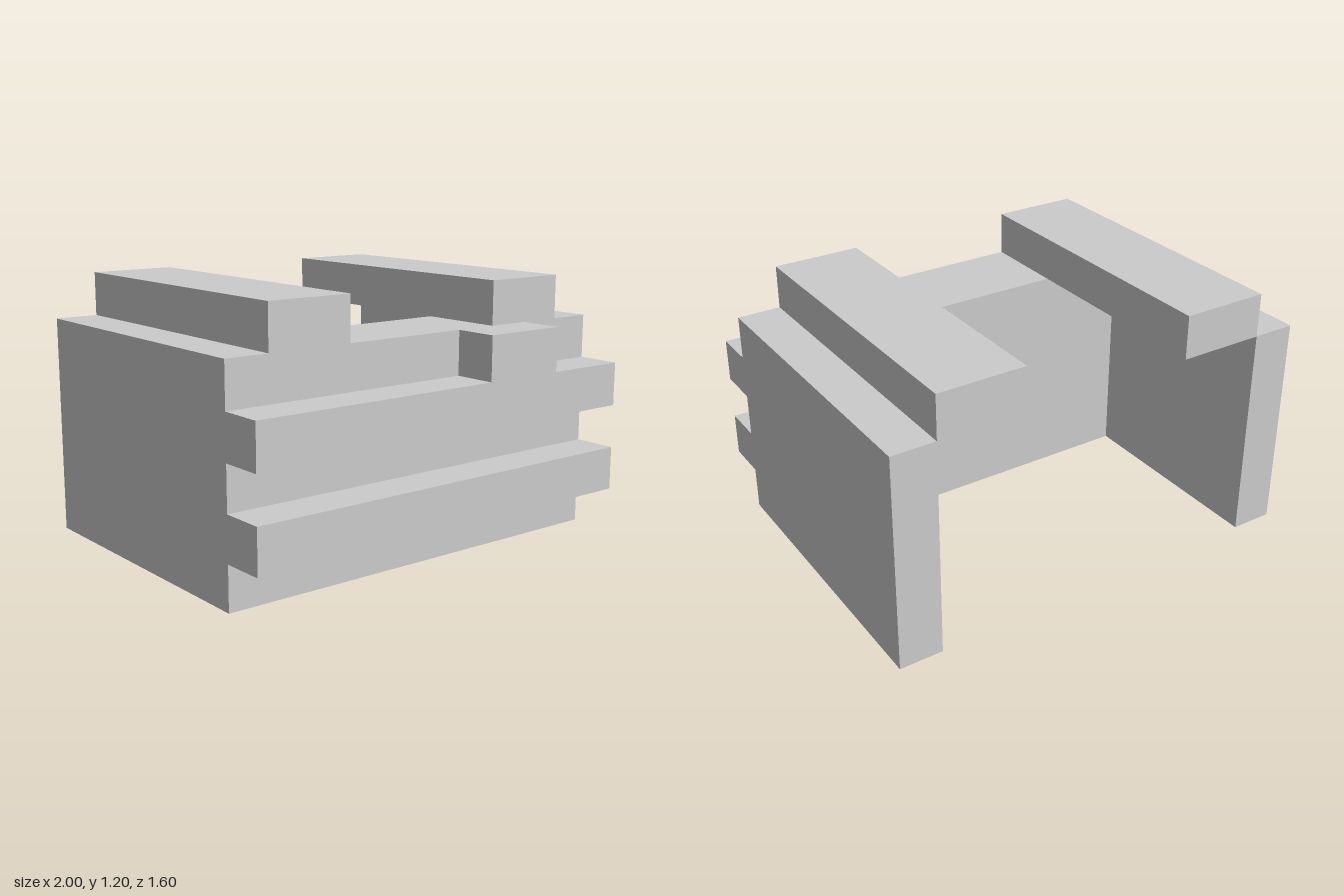
import * as THREE from 'three';

const material = new THREE.MeshStandardMaterial({ color: 0xcccccc, flatShading: true });

// Box given by its min and max on each axis
function block(name, [x0, x1], [y0, y1], [z0, z1]) {
  const mesh = new THREE.Mesh(new THREE.BoxGeometry(x1 - x0, y1 - y0, z1 - z0), material);
  mesh.position.set((x0 + x1) / 2, (y0 + y1) / 2, (z0 + z1) / 2);
  mesh.name = name;
  return mesh;
}

export function createModel() {
  const model = new THREE.Group();
  model.name = 'model';

  // U-shaped body: thick front wall with two side walls, open at the back
  const plan = new THREE.Shape(
    [[-1, -0.6], [1, -0.6], [1, 0.8], [0.8, 0.8], [0.8, -0.2], [-0.8, -0.2], [-0.8, 0.8], [-1, 0.8]]
      .map(([x, y]) => new THREE.Vector2(x, y))
  );
  const bodyGeometry = new THREE.ExtrudeGeometry(plan, { depth: 1, bevelEnabled: false });
  bodyGeometry.rotateX(-Math.PI / 2);
  const body = new THREE.Mesh(bodyGeometry, material);
  body.name = 'body';
  model.add(body);

  // Rails on top, overhanging the inside
  model.add(block('leftRail', [0.4, 0.8], [1, 1.2], [-0.8, 0.6]));
  model.add(block('rightRail', [-0.8, -0.4], [1, 1.2], [-0.8, 0.6]));

  // Horizontal ledges across the front
  model.add(block('lowerLedge', [-1, 1], [0.2, 0.4], [0.6, 0.8]));
  model.add(block('upperLedge', [-1, 1], [0.6, 0.8], [0.6, 0.8]));

  // Small tab standing on the upper ledge
  model.add(block('frontTab', [0.2, 0.6], [0.8, 1], [0.6, 0.8]));

  return model;
}
